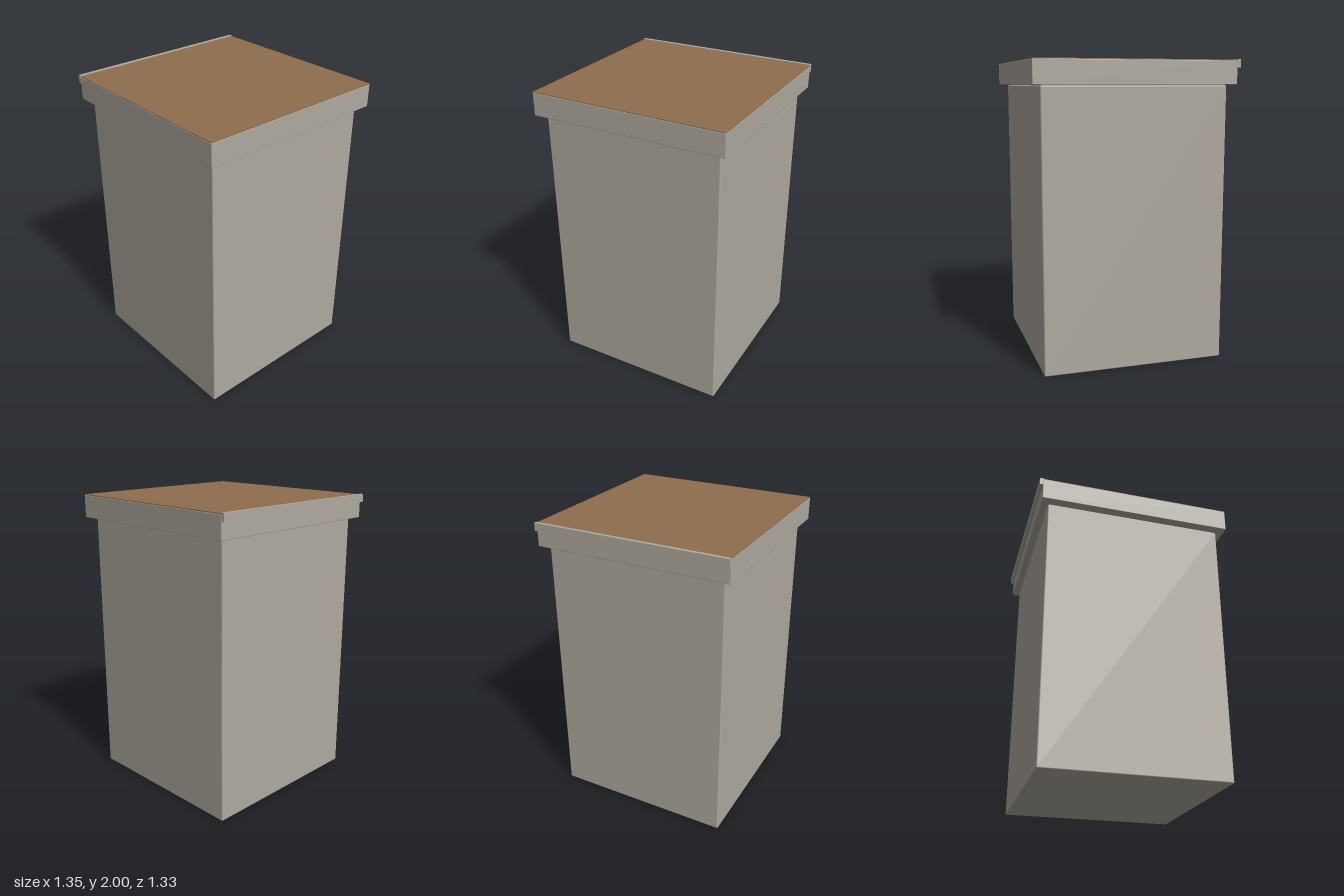
import * as THREE from 'three';
import { RoundedBoxGeometry } from 'three/addons/geometries/RoundedBoxGeometry.js';

export function createModel() {
  const model = new THREE.Group();
  model.name = 'liddedBin';

  const stone = new THREE.MeshStandardMaterial({ color: 0xb0aa9f });
  stone.name = 'warm grey';
  const wood = new THREE.MeshStandardMaterial({ color: 0x8f6d4d });
  wood.name = 'wood brown';

  // Adds a box given by its lower and upper corners, with an optional edge radius
  const addBox = (name, material, lo, hi, radius = 0) => {
    const size = hi.map((v, i) => v - lo[i]);
    const geometry = radius
      ? new RoundedBoxGeometry(...size, 2, radius)
      : new THREE.BoxGeometry(...size);
    const mesh = new THREE.Mesh(geometry, material);
    mesh.name = name;
    mesh.position.set(...hi.map((v, i) => (v + lo[i]) / 2));
    model.add(mesh);
  };

  // Tall container with softened edges
  addBox('body', stone, [-0.605, 0, -0.61], [0.615, 1.835, 0.61], 0.008);

  // Narrow neck joining the container to its lid
  addBox('neck', stone, [-0.595, 1.82, -0.6], [0.605, 1.85, 0.6]);

  // Overhanging lid
  addBox('lid', stone, [-0.653, 1.84, -0.663], [0.672, 1.991, 0.663], 0.004);

  // Thin panel covering the lid
  addBox('topPanel', wood, [-0.653, 1.989, -0.661], [0.67, 1.996, 0.661]);

  // Gripping lip along the side of the lid
  addBox('lidLip', stone, [-0.675, 1.948, -0.663], [-0.652, 2, 0.663]);

  return model;
}
